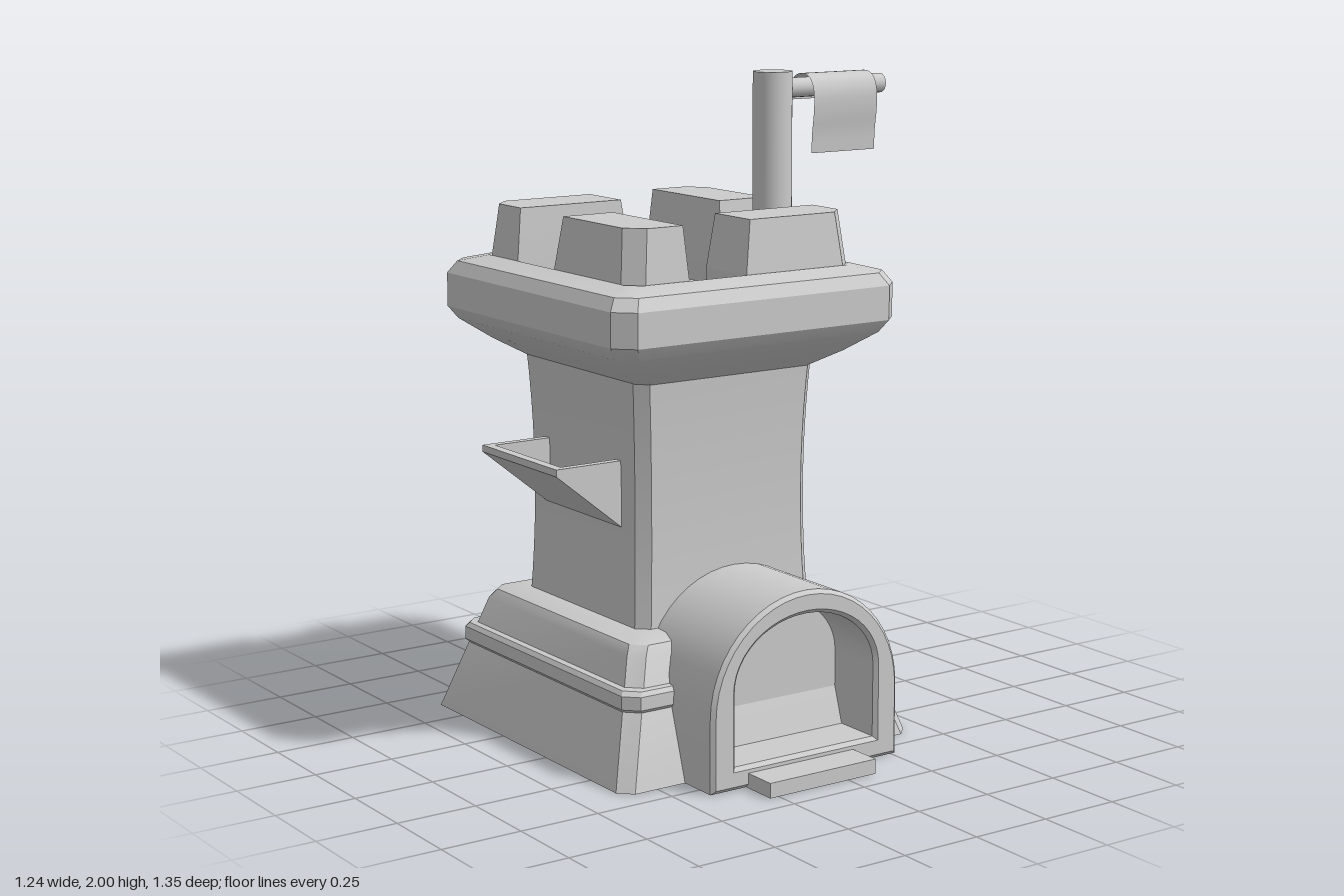
import * as THREE from 'three';
import { toCreasedNormals } from 'three/addons/utils/BufferGeometryUtils.js';

const grey = new THREE.MeshStandardMaterial({ color: 0xcccccc });
const greyDouble = new THREE.MeshStandardMaterial({ color: 0xcccccc, side: THREE.DoubleSide });

// Joins rings of [x, y, z] points, listed bottom to top, and caps both ends
function loft(rings, crease = 0.5) {
  const pos = [];
  const tri = (a, b, c) => pos.push(...a, ...b, ...c);
  const n = rings[0].length;
  for (let i = 0; i < rings.length - 1; i++) {
    for (let j = 0; j < n; j++) {
      const k = (j + 1) % n;
      const [a, b, c, d] = [rings[i][j], rings[i][k], rings[i + 1][k], rings[i + 1][j]];
      tri(a, b, c);
      tri(a, c, d);
    }
  }
  const first = rings[0], last = rings[rings.length - 1];
  for (let j = 1; j < n - 1; j++) {
    tri(first[0], first[j + 1], first[j]);
    tri(last[0], last[j], last[j + 1]);
  }
  const geo = new THREE.BufferGeometry();
  geo.setAttribute('position', new THREE.Float32BufferAttribute(pos, 3));
  geo.computeVertexNormals();
  return toCreasedNormals(geo, crease);
}

// Rectangle with cut corners; dz makes it a little deeper than wide
function cutRect(h, y, c, dz) {
  const v = h + dz;
  return [[-h + c, v], [h - c, v], [h, v - c], [h, -v + c], [h - c, -v], [-h + c, -v], [-h, -v + c], [-h, v - c]]
    .map(([x, z]) => [x, y, z]);
}

// Square tower section from a profile of [half width, height, corner cut]
const section = (profile, dz) => loft(profile.map(([h, y, c]) => cutRect(h, y, c, dz)));

function add(parent, name, geometry, material = grey) {
  const mesh = new THREE.Mesh(geometry, material);
  mesh.name = name;
  parent.add(mesh);
  return mesh;
}

// Arch outline: straight sides, flat foot and an elliptical head
function archPath(Path, halfWidth, bottom, spring, rise) {
  const p = new Path();
  p.moveTo(-halfWidth, bottom);
  p.lineTo(halfWidth, bottom);
  p.lineTo(halfWidth, spring);
  p.absellipse(0, spring, halfWidth, rise, 0, Math.PI, false);
  p.closePath();
  return p;
}

const polygon = (pts) => new THREE.Shape(pts.map(([x, y]) => new THREE.Vector2(x, y)));

export function createModel() {
  const model = new THREE.Group();
  model.name = 'castleTower';

  // Tower body
  const tower = new THREE.Group();
  tower.name = 'tower';
  tower.position.set(-0.092, 0, -0.125);
  model.add(tower);

  // Flared base, hollow underneath
  add(tower, 'base', section([
    [0.37, 0.15, 0.03], [0.41, 0, 0.03], [0.525, 0, 0.04], [0.41, 0.36, 0.04],
    [0.39, 0.388, 0.04], [0.345, 0.402, 0.035], [0.3, 0.404, 0.03],
  ], 0.027));
  add(tower, 'baseBand', section([
    [0.43, 0.205, 0.035], [0.455, 0.21, 0.04], [0.465, 0.222, 0.04],
    [0.465, 0.262, 0.04], [0.455, 0.275, 0.04], [0.42, 0.28, 0.035],
  ], 0.027));

  // Shaft with gently waisted sides
  const shaft = [];
  for (let i = 0; i <= 10; i++) {
    const t = i / 10;
    shaft.push([0.305 + 0.055 * (t - 0.47) ** 2, 0.38 + 0.78 * t, 0.035]);
  }
  add(tower, 'shaft', section(shaft, 0.013));

  // Cornice, sloping down inside to a sunken floor
  add(tower, 'cornice', section([
    [0.315, 1.135, 0.035], [0.395, 1.185, 0.04], [0.475, 1.245, 0.05], [0.5, 1.282, 0.055],
    [0.5, 1.385, 0.055], [0.475, 1.422, 0.05], [0.4, 1.442, 0.04], [0.2, 1.34, 0],
  ], 0.018));

  // Four battlements arranged like a pinwheel
  const footprint = (x0, x1, z0, z1, c, y) =>
    [[x0, z1], [x1, z1], [x1, z0], [x0 + c, z0], [x0, z0 + c]].map(([x, z]) => [x, y, z]);
  const merlonGeo = loft([
    footprint(-0.4, 0, -0.4, -0.2, 0.05, 1.33),
    footprint(-0.4, 0, -0.4, -0.2, 0.05, 1.44),
    footprint(-0.382, -0.025, -0.382, -0.21, 0.05, 1.6),
  ], 0.1);
  const battlements = new THREE.Group();
  battlements.name = 'battlements';
  battlements.scale.z = 1.035;
  tower.add(battlements);
  for (let i = 0; i < 4; i++) add(battlements, 'battlement', merlonGeo).rotation.y = -i * Math.PI / 2;

  // Arched porch with a recessed doorway
  const porch = new THREE.Group();
  porch.name = 'porch';
  porch.position.set(-0.07, 0, 0);
  model.add(porch);
  const arch = archPath(THREE.Shape, 0.335, 0, 0.22, 0.335);
  arch.holes.push(archPath(THREE.Path, 0.25, 0.068, 0.29, 0.195));
  const bevel = 0.012;
  const archGeo = new THREE.ExtrudeGeometry(arch, {
    depth: 0.5, curveSegments: 12, bevelSize: bevel, bevelThickness: bevel, bevelOffset: -bevel, bevelSegments: 1,
  });
  add(porch, 'archSurround', toCreasedNormals(archGeo, 0.5)).position.z = 0.055;
  const door = new THREE.ExtrudeGeometry(archPath(THREE.Shape, 0.28, 0.05, 0.29, 0.22), {
    depth: 0.25, curveSegments: 12, bevelEnabled: false,
  });
  add(porch, 'doorPanel', door).position.z = 0.12;
  add(porch, 'doorstep', new THREE.BoxGeometry(0.38, 0.045, 0.2)).position.set(-0.02, 0.0225, 0.575);

  // Trough on the side wall: slanted plate closed by two triangular ends
  const trough = new THREE.Group();
  trough.name = 'sideTrough';
  model.add(trough);
  const plate = polygon([[-0.62, 0.893], [-0.62, 0.872], [-0.37, 0.67], [-0.37, 0.705], [-0.59, 0.893]]);
  const cheek = polygon([[-0.62, 0.893], [-0.61, 0.868], [-0.37, 0.675], [-0.37, 0.893]]);
  const slab = (shape, depth) => new THREE.ExtrudeGeometry(shape, { depth, bevelEnabled: false });
  add(trough, 'troughPlate', slab(plate, 0.425)).position.z = -0.34;
  for (const z of [-0.34, 0.06]) add(trough, 'troughEnd', slab(cheek, 0.025)).position.z = z;

  // Flagpole and crossbar
  const flagpole = new THREE.Group();
  flagpole.name = 'flagpole';
  flagpole.position.set(0.21, 0, -0.003);
  model.add(flagpole);
  add(flagpole, 'pole', new THREE.CylinderGeometry(0.06, 0.06, 0.67, 24)).position.y = 1.665;
  const bar = add(flagpole, 'crossbar', new THREE.CylinderGeometry(0.03, 0.03, 0.41, 16));
  bar.rotation.z = Math.PI / 2;
  bar.position.set(0.205, 1.947, 0);

  // Flag draped over the crossbar, hanging down at the front
  const drape = new THREE.CatmullRomCurve3([
    [1.905, -0.06], [1.945, -0.058], [1.977, -0.038], [1.989, 0], [1.977, 0.04],
    [1.94, 0.06], [1.88, 0.062], [1.81, 0.053], [1.75, 0.05],
  ].map(([y, z]) => new THREE.Vector3(0, y, z)));
  const steps = 28;
  const flag = new THREE.PlaneGeometry(0.24, 1, 1, steps);
  const p = flag.attributes.position;
  for (let i = 0; i < p.count; i++) {
    const q = drape.getPoint(Math.floor(i / 2) / steps);
    p.setXYZ(i, p.getX(i) + 0.23, q.y, q.z);
  }
  flag.computeVertexNormals();
  add(flagpole, 'flag', flag, greyDouble);

  return model;
}
